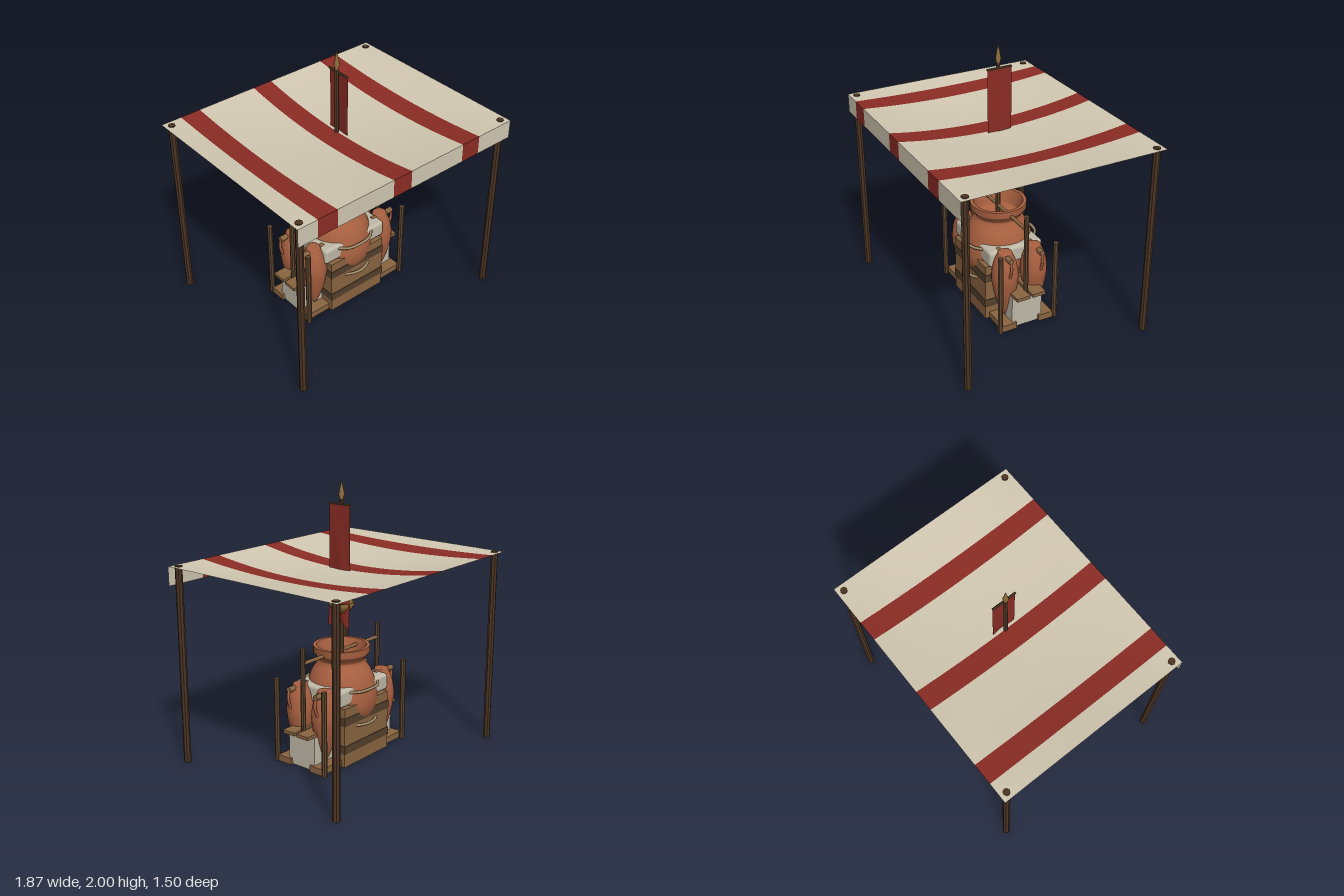
import * as THREE from 'three';
import { RoundedBoxGeometry } from 'three/addons/geometries/RoundedBoxGeometry.js';

const mat = (color, flatShading = false, side = THREE.FrontSide) =>
  new THREE.MeshStandardMaterial({ color, flatShading, side });
const M = {
  pole: mat(0x4c3524, true),
  post: mat(0x5f4630, true),
  wood: mat(0x8a6440),
  band: mat(0x54402c),
  clay: mat(0xa86040, false, THREE.DoubleSide),
  linen: mat(0xc0b9a8),
  cream: mat(0xd2c8b2, false, THREE.DoubleSide),
  red: mat(0x8a2c24, false, THREE.DoubleSide),
  bronze: mat(0x94703c, false, THREE.DoubleSide),
  flame: mat(0xe8a060),
  rope: mat(0xa08a68),
};

export function createModel() {
  const root = new THREE.Group();
  const add = (name, geo, material, x = 0, y = 0, z = 0, parent = root) => {
    const mesh = new THREE.Mesh(geo, material);
    mesh.name = name;
    mesh.position.set(x, y, z);
    parent.add(mesh);
    return mesh;
  };
  const box = (name, w, h, d, m, x, y, z) => add(name, new THREE.BoxGeometry(w, h, d), m, x, y, z);
  // Upright round stick from y0 to y1
  const stick = (name, r, y0, y1, m, x, z, rTop = r) =>
    add(name, new THREE.CylinderGeometry(rTop, r, y1 - y0, 8), m, x, (y0 + y1) / 2, z);
  // Round stick lying along x or z
  const rail = (name, r, length, axis, m, x, y, z) => {
    const mesh = add(name, new THREE.CylinderGeometry(r, r, length, 8), m, x, y, z);
    if (axis === 'x') mesh.rotation.z = Math.PI / 2;
    else mesh.rotation.x = Math.PI / 2;
    return mesh;
  };
  const lathe = (points, segments = 32) =>
    new THREE.LatheGeometry(points.map(([r, y]) => new THREE.Vector2(r, y)), segments);
  const tube = (points, r) => new THREE.TubeGeometry(
    new THREE.CatmullRomCurve3(points.map((p) => new THREE.Vector3(...p))), 20, r, 7);

  // Sagging striped awning with a front valance
  const W = 0.935, D = 0.75, strips = 12, step = (2 * W) / strips;
  for (let i = 0; i < strips; i++) {
    const m = i % 4 === 1 ? M.red : M.cream;
    const cx = -W + step * (i + 0.5);
    const geo = new THREE.PlaneGeometry(step, 2 * D, 2, 20).rotateX(-Math.PI / 2).translate(cx, 0, 0);
    const p = geo.attributes.position;
    for (let k = 0; k < p.count; k++) {
      const u = p.getX(k) / W, v = p.getZ(k) / D;
      p.setY(k, 1.438 - 0.07 * (1 - u * u) * (1 - v * v));
    }
    geo.computeVertexNormals();
    add('awningStrip', geo, m);
    add('valanceStrip', new THREE.PlaneGeometry(step, 0.138), m, cx, 1.369, D);
  }
  for (const x of [-0.885, 0.885])
    for (const z of [-0.7, 0.7]) stick('awningPole', 0.026, 0, 1.443, M.pole, x, z);

  // Wooden chest with dark bands
  box('chest', 0.49, 0.44, 0.47, M.wood, 0, 0.22, 0);
  for (const y of [0.13, 0.34]) box('chestBand', 0.498, 0.06, 0.48, M.band, 0, y, 0);

  // Large central jar with an open mouth
  const belly = new THREE.SplineCurve([
    [0.08, 0.05], [0.17, 0.18], [0.235, 0.31], [0.26, 0.4], [0.254, 0.5],
    [0.222, 0.61], [0.17, 0.695], [0.175, 0.725], [0.205, 0.765],
  ].map(([r, y]) => new THREE.Vector2(r, y))).getPoints(32).map((v) => [v.x, v.y]);
  add('largeJar', lathe([...belly, [0.205, 0.812], [0.205, 0.812], [0.18, 0.812], [0.18, 0.812],
    [0.15, 0.72], [0.15, 0.69], [0, 0.66]], 40), M.clay);

  // Linen pad around the jar, linen bale under the side shelves
  add('linenPad', new RoundedBoxGeometry(0.56, 0.125, 0.426, 3, 0.025), M.linen, 0, 0.503, 0);
  box('linenBale', 0.87, 0.25, 0.24, M.linen, 0, 0.13, 0);

  // Carrying grips on front and back
  for (const s of [-1, 1])
    for (const [y, w, z] of [[0.535, 0.16, 0.205], [0.28, 0.115, 0.228]])
      add('grip', tube([[-w, y, s * z], [-w * 0.6, y, s * 0.255], [0, y, s * 0.268],
        [w * 0.6, y, s * 0.255], [w, y, s * z]], 0.011), M.rope);

  // Slim pointed jar shape, used four times
  const slim = new THREE.SplineCurve([
    [0, 0.045], [0.028, 0.085], [0.068, 0.2], [0.093, 0.32], [0.097, 0.4],
    [0.083, 0.49], [0.055, 0.56], [0.045, 0.58], [0, 0.582],
  ].map(([r, y]) => new THREE.Vector2(r, y))).getPoints(28).map((v) => [Math.max(v.x, 0), v.y]);
  const slimJar = lathe(slim, 24);

  // Side racks, mirrored left and right
  for (const s of [-1, 1]) {
    stick('tallPost', 0.018, 0.25, 0.88, M.post, s * 0.415, 0);
    for (const z of [-1, 1]) {
      stick('cornerPost', 0.02, 0, 0.625, M.post, s * 0.448, z * 0.222);
      box('footRail', 0.21, 0.048, 0.115, M.wood, s * 0.35, 0.025, z * 0.147);
      box('shelfPlank', 0.25, 0.025, 0.105, M.wood, s * 0.375, 0.268, z * 0.063);
      rail('slingRail', 0.021, 0.2, 'x', M.wood, s * 0.33, 0.552, z * 0.125);
      add('slimJar', slimJar, M.clay, s * 0.318, 0, z * 0.117);
      add('jarHandle', tube([[s * 0.36, 0.555, z * 0.125], [s * 0.415, 0.55, z * 0.125],
        [s * 0.432, 0.49, z * 0.125], [s * 0.41, 0.41, z * 0.125]], 0.011), M.clay);
    }
  }
  rail('crossRail', 0.014, 0.83, 'x', M.wood, 0, 0.77, 0);

  // Mast with spear tip
  stick('mast', 0.02, 0.6, 1.88, M.post, 0, 0, 0.013);
  add('spearTip', lathe([[0.013, 1.86], [0.021, 1.893], [0.008, 1.96], [0, 2]], 8), M.bronze);

  // Oil lamp bowl and flame
  add('lampBowl', lathe([[0, 1.048], [0.035, 1.05], [0.065, 1.067], [0.082, 1.092], [0.09, 1.108],
    [0.09, 1.128], [0.082, 1.128], [0.06, 1.1], [0, 1.09]], 24), M.bronze);
  add('flame', new THREE.SphereGeometry(0.024, 14, 10).scale(1, 1.7, 1), M.flame, 0, 1.14, 0);

  // Swallow-tailed banner hanging across z
  const cloth = new THREE.PlaneGeometry(0.184, 0.88, 8, 20);
  const q = cloth.attributes.position;
  for (let k = 0; k < q.count; k++) {
    const z = q.getX(k), t = 0.5 - q.getY(k) / 0.88;
    const length = 0.82 + 0.06 * Math.abs(z) / 0.092;
    q.setXYZ(k, 0.02 + t * (0.008 + 0.007 * Math.sin(z * 40 + t * 4)), 1.822 - t * length, z);
  }
  cloth.computeVertexNormals();
  add('banner', cloth, M.red);
  rail('bannerBar', 0.009, 0.186, 'z', M.post, 0.016, 1.828, 0);
  return root;
}
